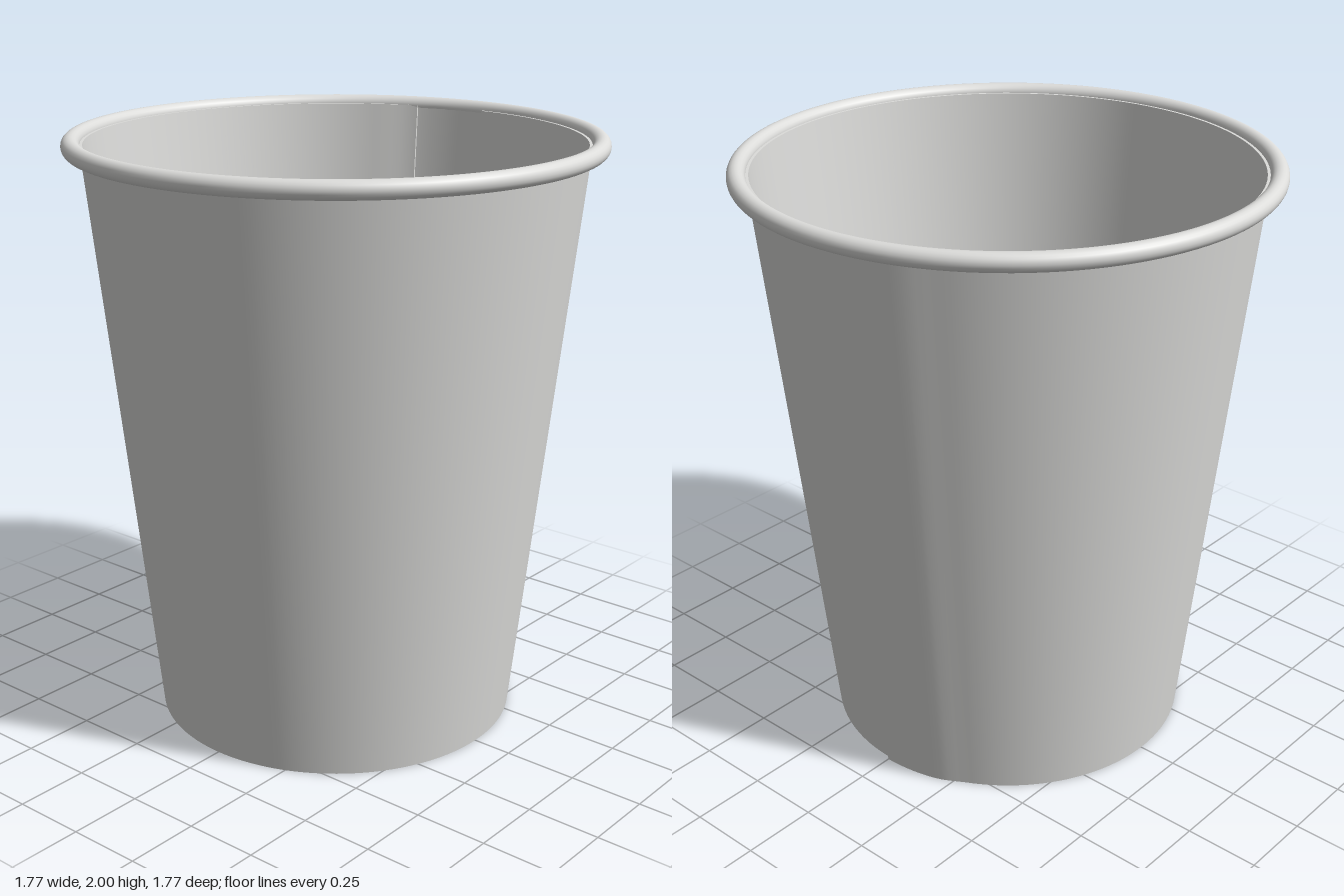
import * as THREE from 'three';
import { toCreasedNormals } from 'three/addons/utils/BufferGeometryUtils.js';

export function createModel() {
  const cup = new THREE.Group();
  cup.name = 'paperCup';
  const paper = new THREE.MeshStandardMaterial({ color: 0xdcdcda, side: THREE.DoubleSide });
  paper.name = 'off-white paper';

  const add = (name, geometry) => {
    const mesh = new THREE.Mesh(geometry, paper);
    mesh.name = name;
    cup.add(mesh);
    return mesh;
  };

  // Tapered sheet, rolled a little past one turn so its ends overlap at the back
  const t = 0.011;
  const overlap = 0.32;
  const start = Math.PI;
  const segments = 144;
  const radiusAt = (y) => 0.614 + 0.107 * y;
  const top = 1.972;
  const profile = [
    [radiusAt(0) - t, 0], [radiusAt(0), 0],
    [radiusAt(top), top], [radiusAt(top) - t, top],
    [radiusAt(0) - t, 0],
  ].map(([x, y]) => new THREE.Vector2(x, y));
  const wall = new THREE.LatheGeometry(profile, segments, start, Math.PI * 2 + overlap);

  // The outer end sits one thickness further out, easing back past the overlap
  const p = wall.attributes.position;
  for (let i = 0; i < p.count; i++) {
    const turn = Math.floor(i / profile.length) / segments * (Math.PI * 2 + overlap);
    const lift = t * (1 - THREE.MathUtils.smoothstep(turn, overlap, overlap + 0.2));
    const r = Math.hypot(p.getX(i), p.getZ(i));
    const k = (r + lift) / r;
    p.setXYZ(i, p.getX(i) * k, p.getY(i), p.getZ(i) * k);
  }
  add('wall', toCreasedNormals(wall, 0.6));

  // Cut edges of the sheet: outer end and inner end
  for (const [name, angle, lift] of [['outerSeamEdge', start, t], ['innerSeamEdge', start + overlap, 0]]) {
    const edge = new THREE.ShapeGeometry(new THREE.Shape(profile.slice(0, 4)));
    edge.translate(lift, 0, 0);
    add(name, edge).rotation.y = angle - Math.PI / 2;
  }

  // Rolled lip
  const rim = new THREE.TorusGeometry(0.853, 0.03, 20, 128);
  rim.rotateX(Math.PI / 2);
  add('rolledRim', rim).position.y = 1.97;

  // Floor, recessed above the bottom edge
  add('floor', new THREE.CylinderGeometry(0.616, 0.615, 0.012, 128)).position.y = 0.104;

  return cup;
}
